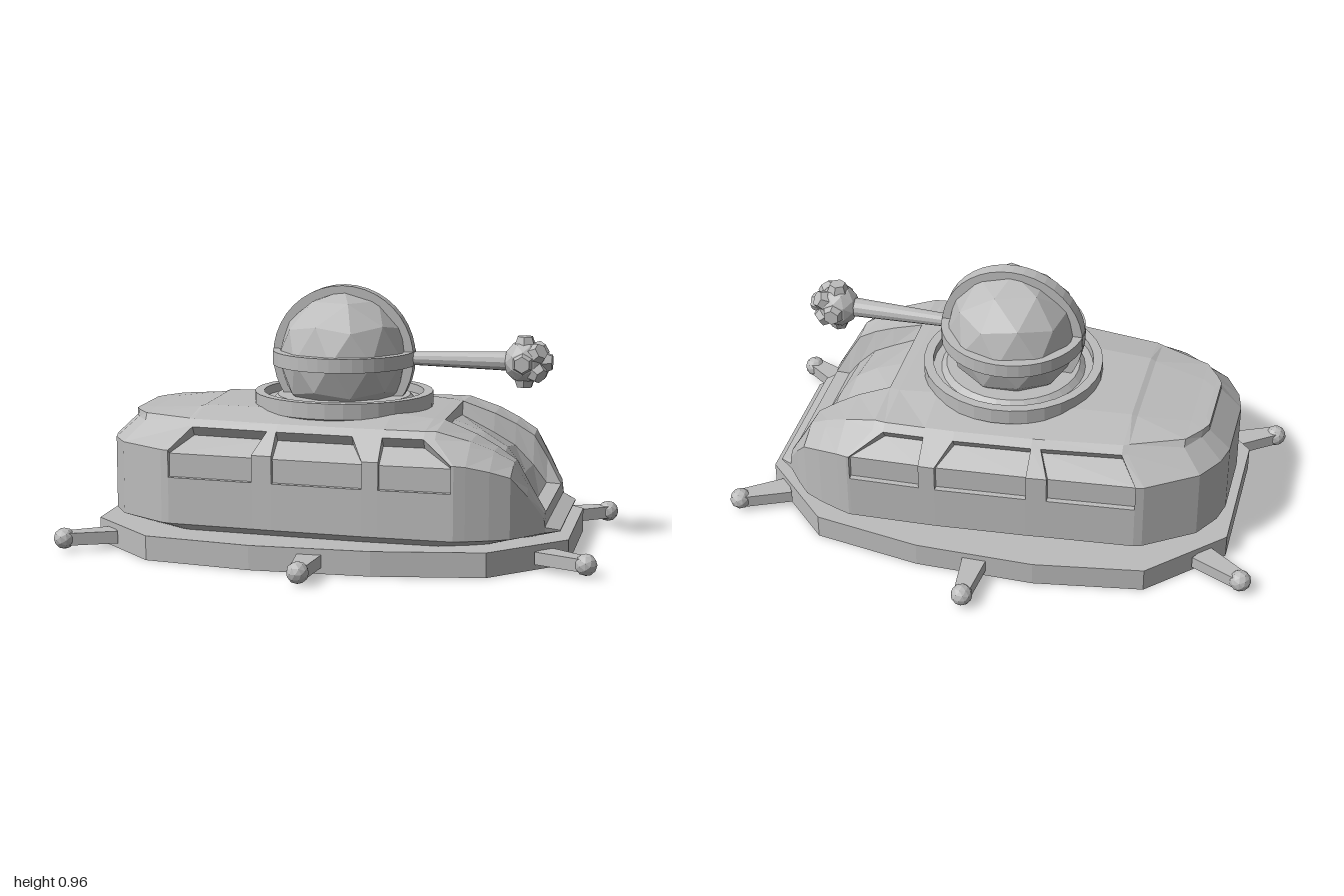
import * as THREE from 'three';

const grey = new THREE.MeshStandardMaterial({ color: 0xbcbcbc, flatShading: true });
grey.name = 'plain grey';

function add(parent, name, geometry, x = 0, y = 0, z = 0) {
  const mesh = new THREE.Mesh(geometry, grey);
  mesh.name = name;
  mesh.position.set(x, y, z);
  parent.add(mesh);
  return mesh;
}

// Twelve-sided base outline, inset by d
function baseOutline(d, Type = THREE.Shape) {
  const quarter = [[0.88, 0.27], [0.62, 0.53], [0.22, 0.595]];
  const back = [...quarter].reverse();
  const pts = [
    ...quarter, ...back.map(([x, z]) => [-x, z]),
    ...quarter.map(([x, z]) => [-x, -z]), ...back.map(([x, z]) => [x, -z]),
  ].map(([x, z]) => new THREE.Vector2(x * (1 - d / 0.88), z * (1 - d / 0.595)));
  return new Type(pts);
}

function slab(shape, height) {
  return new THREE.ExtrudeGeometry(shape, { depth: height, bevelEnabled: false }).rotateX(-Math.PI / 2);
}

function lathe(points, segments) {
  return new THREE.LatheGeometry(points.map(([r, y]) => new THREE.Vector2(r, y)), segments);
}

// Half cross-section of the hull, from the underside up to the centre line
function section(s) {
  const { x, dx = 0, w, yW = 0.39, zR, yR = 0.49, yC, d = 0 } = s;
  const { zi = zR * 0.55, yi = yC, yF = yC, zF = zi } = s;
  const lo = 0.12 + (yW - 0.12) * 0.63;
  const yH = yW + (yR - yW) * 0.75, zH = w + (zR - w) * 0.75, t = x + dx;
  return [
    [x * 0.88, 0.09, w * 0.9], [x, 0.12, w],
    [x, lo, w], [x, lo, w - d * 0.6], [x, yW - d * 0.4, w - d * 0.6],
    [t, yH - d, zH - d * 0.7], [t, yH, zH],
    [t, yR, zR], [t, yi, zi], [t, yF, zF], [t, yC, 0],
  ];
}

function hullGeometry() {
  // Rounded tail
  const stations = [
    [-0.85, 0.08, 0.13, 0.13, 0.49], [-0.83, 0.08, 0.21, 0.17, 0.492],
    [-0.77, 0.07, 0.31, 0.24, 0.495], [-0.59, 0.08, 0.43, 0.32, 0.512],
  ].map(([x, dx, w, zR, yC]) => ({ x, dx, w, zR, yC }));

  // Three recessed side windows: each edge doubles a station to form the jambs
  const windows = [
    [[-0.56, 0.07, 0.44, 0.33], [-0.24, 0.04, 0.47, 0.37]],
    [[-0.165, 0, 0.478, 0.375], [0.17, -0.05, 0.505, 0.4]],
    [[0.23, 0, 0.508, 0.405], [0.49, -0.11, 0.518, 0.41]],
  ];
  for (const [a, b] of windows) {
    const [A, B] = [a, b].map(([x, dx, w, zR]) => ({ x, dx, w, zR, yC: x > 0.4 ? 0.505 : 0.52 }));
    const d = 0.035;
    stations.push(A, { ...A, d }, { ...B, d }, B);
  }

  // Nose: a windscreen sunk between two cheeks, a flat sill and a lower lip
  const edge = { x: 0.5, dx: -0.08, w: 0.518, zR: 0.405, yC: 0.5, zi: 0.21 };
  stations.push(edge, { ...edge, yC: 0.465, yi: 0.5, yF: 0.45, zF: 0.19 });
  for (const [x, w, yW, zR, yR, zi, yi, yF, yC] of [
    [0.54, 0.505, 0.385, 0.385, 0.455, 0.225, 0.455, 0.385, 0.42],
    [0.62, 0.475, 0.365, 0.36, 0.42, 0.24, 0.415, 0.335, 0.37],
    [0.69, 0.44, 0.34, 0.34, 0.38, 0.25, 0.37, 0.26, 0.28],
    [0.74, 0.385, 0.27, 0.315, 0.29, 0.262, 0.285, 0.19, 0.19],
    [0.795, 0.315, 0.175, 0.295, 0.195, 0.27, 0.195, 0.185, 0.185],
    [0.8, 0.31, 0.14, 0.29, 0.145, 0.27, 0.145, 0.145, 0.145],
    [0.85, 0.27, 0.124, 0.265, 0.124, 0.25, 0.124, 0.124, 0.124],
  ]) stations.push({ x, w, yW, zR, yR, zi, yi, yF, yC, zF: zi - 0.02 });

  const rows = stations.map(section);
  const flat = (row) => row.map(([x, y]) => [x, y, 0]);
  rows.unshift(flat(rows[0]));
  rows.push(flat(rows[rows.length - 1]));

  const pos = [];
  const tri = new THREE.Triangle();
  function face(a, b, c, side) {
    const p = (side > 0 ? [a, b, c] : [a, c, b]).map(([x, y, z]) => new THREE.Vector3(x, y, z * side));
    tri.set(...p);
    if (tri.getArea() > 1e-7) p.forEach((v) => pos.push(v.x, v.y, v.z));
  }
  for (const side of [1, -1]) {
    for (let i = 0; i < rows.length - 1; i++) {
      for (let j = 0; j < rows[i].length - 1; j++) {
        const a = rows[i][j], b = rows[i + 1][j], c = rows[i + 1][j + 1], e = rows[i][j + 1];
        face(a, b, c, side);
        face(a, c, e, side);
      }
    }
  }
  const g = new THREE.BufferGeometry();
  g.setAttribute('position', new THREE.Float32BufferAttribute(pos, 3));
  g.computeVertexNormals();
  return g;
}

export function createModel() {
  const model = new THREE.Group();
  model.name = 'hoverTank';

  // Base plate with concentric ridges underneath
  add(model, 'basePlate', slab(baseOutline(0), 0.04), 0, 0.05, 0);
  for (const d of [0, 0.13, 0.26]) {
    const ring = baseOutline(d);
    ring.holes.push(baseOutline(d + 0.065, THREE.Path));
    add(model, 'underRidge', slab(ring, 0.05));
  }

  // Six tapered arms with ball ends
  for (const [x, z] of [[0, 0.765], [0, -0.765], [0.96, 0.445], [0.96, -0.445], [-0.96, 0.445], [-0.96, -0.445]]) {
    const arm = new THREE.Group();
    arm.name = 'sensorArm';
    arm.position.set(x, 0.045, z);
    arm.rotation.y = x === 0 ? Math.atan2(-z, 0) : Math.atan2(-Math.sign(z) * 0.5, Math.sign(x) * 0.86);
    const taper = new THREE.Shape([[-0.19, -0.046], [0, -0.027], [0, 0.027], [-0.19, 0.046]].map((p) => new THREE.Vector2(...p)));
    add(arm, 'armBeam', slab(taper, 0.046), 0, -0.023, 0);
    add(arm, 'armBall', new THREE.IcosahedronGeometry(0.04, 1));
    model.add(arm);
  }

  add(model, 'hull', hullGeometry());

  // Turret collar, faceted dome and two crossing bands
  add(model, 'turretCollar', lathe([
    [0.29, 0.47], [0.335, 0.505], [0.335, 0.563], [0.3, 0.563], [0.3, 0.53], [0.27, 0.53], [0.25, 0.55], [0, 0.55],
  ], 32));
  const dome = add(model, 'dome', new THREE.IcosahedronGeometry(0.248, 1), 0, 0.69, 0);
  dome.rotation.z = -Math.atan(2 / (1 + Math.sqrt(5)));
  const band = lathe([[0.22, -0.026], [0.268, -0.026], [0.268, 0.026], [0.22, 0.026], [0.22, -0.026]], 40);
  add(model, 'horizontalBand', band, 0, 0.69, 0);
  add(model, 'verticalBand', band, 0, 0.69, 0).rotation.x = Math.PI / 2;

  // Gun with a muzzle ball wrapped in stubby lugs
  const gun = new THREE.Group();
  gun.name = 'gun';
  gun.position.set(0.68, 0.69, 0);
  add(gun, 'barrel', new THREE.CylinderGeometry(0.036, 0.024, 0.4, 12), -0.25, 0, 0).rotation.z = -Math.PI / 2;
  add(gun, 'muzzleBall', new THREE.IcosahedronGeometry(0.08, 1));
  const directions = [[1, 0, 0], [0, 1, 0], [0, -1, 0], [0, 0, 1], [0, 0, -1],
    [0.7, 0.5, 0.5], [0.7, 0.5, -0.5], [0.7, -0.5, 0.5], [0.7, -0.5, -0.5]];
  for (const dir of directions) {
    const n = new THREE.Vector3(...dir).normalize();
    const lug = add(gun, 'muzzleLug', new THREE.CylinderGeometry(0.03, 0.045, 0.04, 6));
    lug.position.copy(n).multiplyScalar(n.x === 1 ? 0.082 : 0.074);
    lug.quaternion.setFromUnitVectors(new THREE.Vector3(0, 1, 0), n);
  }
  model.add(gun);

  return model;
}
